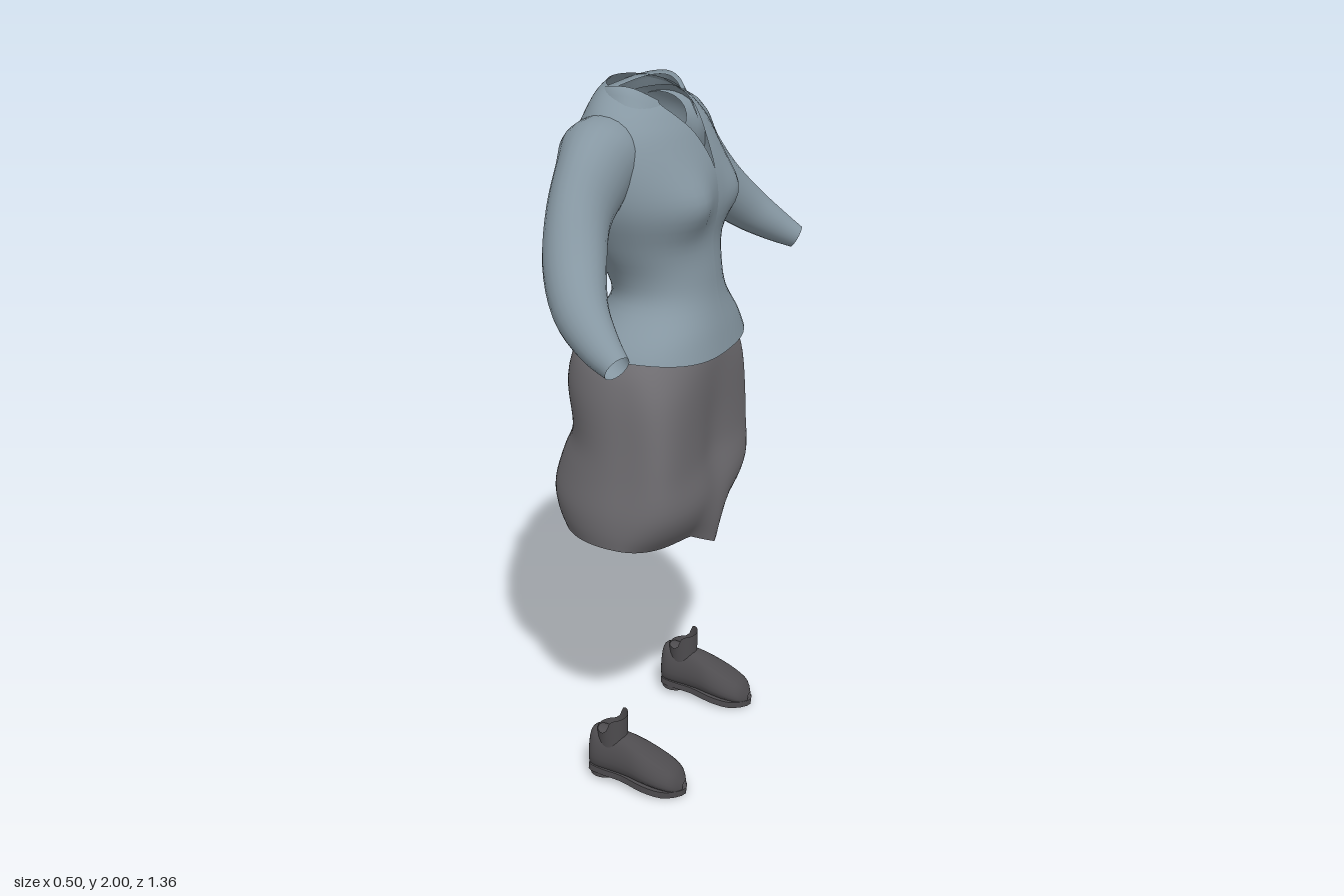
import * as THREE from 'three';

const mat = (name, color) => {
  const m = new THREE.MeshStandardMaterial({ color, side: THREE.DoubleSide });
  m.name = name;
  return m;
};

// Skin a surface over rows of points
function loft(rows, closed = false) {
  const n = rows[0].length, pos = [], idx = [];
  rows.forEach(r => r.forEach(p => pos.push(p[0], p[1], p[2])));
  const cols = closed ? n : n - 1;
  for (let i = 0; i < rows.length - 1; i++) {
    for (let j = 0; j < cols; j++) {
      const a = i * n + j, b = i * n + (j + 1) % n, c = a + n, d = b + n;
      idx.push(a, c, b, b, c, d);
    }
  }
  const g = new THREE.BufferGeometry();
  g.setAttribute('position', new THREE.Float32BufferAttribute(pos, 3));
  g.setIndex(idx);
  g.computeVertexNormals();
  return g;
}

// Smoothly resample a table of section values
function resample(table, steps) {
  const out = [];
  for (let s = 0; s <= steps; s++) {
    const f = s / steps * (table.length - 1);
    const i = Math.min(Math.floor(f), table.length - 2), u = f - i;
    const p = table[Math.max(i - 1, 0)], a = table[i], b = table[i + 1], q = table[Math.min(i + 2, table.length - 1)];
    out.push(a.map((v, k) => v + 0.5 * u * (b[k] - p[k] +
      u * (2 * p[k] - 5 * v + 4 * b[k] - q[k] + u * (3 * (v - b[k]) + q[k] - p[k])))));
  }
  return out;
}

// Oval point, front at t = 0, widest at x = mid; n above 2 squares the front half
function oval(t, back, front, half, mid = (back + front) / 2, n = 2) {
  const c = Math.cos(t), s = Math.sin(t);
  const r = c > 0 ? (c ** n + Math.abs(s) ** n) ** (-1 / n) : 1;
  return [mid + (c > 0 ? front - mid : mid - back) * c * r, half * s * r];
}
const bump = (v, c, w) => Math.exp(-(((v - c) / w) ** 2));
const range = (n, fn) => Array.from({ length: n + 1 }, (_, i) => fn(i / n));

export function createModel() {
  const shirt = mat('blue grey cloth', 0x8697a2);
  const cloth = mat('grey skirt cloth', 0x706e72);
  const leather = mat('dark shoe leather', 0x4e4c4f);
  const model = new THREE.Group();
  const add = (name, geo, material, parent = model) => {
    const m = new THREE.Mesh(geo, material);
    m.name = name;
    parent.add(m);
    return m;
  };

  // Blouse body: height, back, front, half width, neck gap angle, forward drop, front squareness
  const body = resample([
    [1.285, -0.18, 0.245, 0.292, 0, 0, 2.5], [1.35, -0.145, 0.23, 0.26, 0, 0, 2.4],
    [1.43, -0.09, 0.208, 0.19, 0, 0, 2.2], [1.5, -0.11, 0.198, 0.185, 0, 0, 2.1],
    [1.59, -0.175, 0.19, 0.222, 0, 0, 2.1], [1.69, -0.208, 0.2, 0.262, 0, 0, 2.1],
    [1.78, -0.2, 0.19, 0.268, 0, 0, 2], [1.87, -0.175, 0.15, 0.25, 0.12, 0, 2],
    [1.925, -0.15, 0.115, 0.212, 0.32, 0.005, 2], [1.96, -0.13, 0.09, 0.165, 0.55, 0.012, 2],
    [1.98, -0.105, 0.078, 0.128, 0.72, 0.02, 2]], 40);
  add('blouseBody', loft(body.map(([y, b, f, h, gap, drop, n]) => range(56, k => {
    const g = Math.max(gap, 0), t = g + k * (2 * Math.PI - 2 * g);
    let [x, z] = oval(t, b, f, h, (b + f) / 2, n);
    if (x > 0.03) x += 0.036 * bump(y, 1.7, 0.075) * bump(Math.abs(z), 0.13, 0.08);
    const hem = bump(y, 1.285, 0.05) * 0.022 * Math.min(1, Math.abs(z) / 0.29) ** 3;
    return [x, y - drop * Math.cos(t) + hem, z];
  }))), shirt);

  // Folded collar, open at the front, with lower points
  const collar = [[0, -0.01], [0.01, 0], [0.024, -0.022], [0.04, -0.045]];
  add('collar', loft(collar.map(([out, up], i) => range(36, k => {
    const g = 0.74 - 0.03 * i, t = g + k * (2 * Math.PI - 2 * g), c = Math.cos(t);
    const [x, z] = oval(t, -0.105 - out * 0.85, 0.08 + out * 1.2, 0.128 + out * 0.9);
    const tip = 0.055 * (i / 3) ** 1.5 * Math.max(0, c) ** 2;
    return [x, 2 + up - (c > 0 ? 0.055 : 0.025) * c * c - tip, z];
  }))), shirt);

  // Sleeves: x, y, z, radius across the arm, radius front to back
  const sleeve = resample([
    [-0.045, 1.865, 0.145, 0.075, 0.095], [-0.04, 1.832, 0.215, 0.108, 0.108],
    [-0.03, 1.79, 0.29, 0.116, 0.092], [-0.023, 1.715, 0.38, 0.1, 0.08],
    [0.01, 1.62, 0.473, 0.082, 0.08], [0.067, 1.535, 0.56, 0.068, 0.07],
    [0.14, 1.473, 0.615, 0.05, 0.054], [0.205, 1.432, 0.647, 0.034, 0.036]], 28);
  for (const side of [1, -1]) {
    const rows = sleeve.map(([x, y, z, ra, rb], i) => {
      const p = sleeve[Math.max(i - 1, 0)], q = sleeve[Math.min(i + 1, 28)];
      const dir = new THREE.Vector3(q[0] - p[0], q[1] - p[1], q[2] - p[2]).normalize();
      const up = new THREE.Vector3().crossVectors(dir, new THREE.Vector3(1, 0, 0)).normalize();
      const fore = new THREE.Vector3().crossVectors(up, dir);
      return range(23, k => {
        const t = k * 23 / 24 * Math.PI * 2;
        const v = new THREE.Vector3(x, y, z).addScaledVector(up, ra * Math.cos(t)).addScaledVector(fore, rb * Math.sin(t));
        return [v.x, v.y, v.z * side];
      });
    });
    add(side > 0 ? 'sleeveA' : 'sleeveB', loft(rows, true), shirt);
  }

  // Skirt: height, back, front, half width, front squareness, hollow (+) or ridge (-) down the front
  const skirt = resample([
    [1.31, -0.165, 0.195, 0.28, 2.5, 0], [1.26, -0.195, 0.204, 0.302, 3, 0],
    [1.18, -0.208, 0.208, 0.317, 4, 0.005], [1.06, -0.19, 0.208, 0.324, 5, 0.012],
    [0.97, -0.225, 0.212, 0.33, 4.8, 0.015], [0.88, -0.254, 0.225, 0.338, 3.6, 0.01],
    [0.82, -0.245, 0.21, 0.337, 2.8, -0.008], [0.775, -0.222, 0.175, 0.33, 2.3, -0.033]], 28);
  add('skirt', loft(skirt.map(([y, b, f, h, n, hollow]) => range(95, k => {
    const t = k * 95 / 96 * Math.PI * 2, c = Math.cos(t);
    const [x, z] = oval(t, b, f, h, 0.045, n);
    const low = Math.max(0, (0.95 - y) / 0.175) ** 1.5;
    const dip = c > 0 ? 0.03 * c * c + 0.055 * Math.max(0, 1 - Math.abs(z) / 0.11) : 0.018 * c * c;
    return [x - (c > 0 ? hollow * bump(z, 0, 0.09) : 0), y - low * dip, z];
  })), true), cloth);

  // Shoes: length position, half width, underside, top
  const upper = resample([
    [-0.064, 0.012, 0.045, 0.12], [-0.056, 0.036, 0.036, 0.158], [-0.03, 0.047, 0.034, 0.165],
    [0.02, 0.049, 0.034, 0.158], [0.07, 0.054, 0.032, 0.148], [0.12, 0.062, 0.028, 0.126],
    [0.17, 0.061, 0.022, 0.102], [0.21, 0.047, 0.017, 0.077], [0.232, 0.014, 0.014, 0.042]], 24);
  const solePlan = new THREE.Shape(new THREE.SplineCurve([
    [-0.068, 0], [-0.055, 0.04], [-0.01, 0.048], [0.05, 0.048], [0.13, 0.064], [0.195, 0.055],
    [0.238, 0], [0.195, -0.055], [0.13, -0.064], [0.05, -0.048], [-0.01, -0.048], [-0.055, -0.04], [-0.068, 0]
  ].map(p => new THREE.Vector2(...p))).getPoints(40));
  for (const side of [1, -1]) {
    const shoe = new THREE.Group();
    shoe.name = side > 0 ? 'shoeA' : 'shoeB';
    shoe.position.z = 0.266 * side;
    model.add(shoe);
    add('shoeUpper', loft(upper.map(([x, w, lo, hi]) => range(19, k => {
      const t = k * 19 / 20 * Math.PI * 2, s = Math.sin(t), c = Math.cos(t);
      return [x, (lo + hi) / 2 + (hi - lo) / 2 * s, w * Math.sign(c) * Math.abs(c) ** 0.6 * (1 - 0.2 * s)];
    })), true), leather, shoe);
    const sole = new THREE.ExtrudeGeometry(solePlan, { depth: 0.02, bevelEnabled: false });
    const soleMesh = add('sole', sole.rotateX(-Math.PI / 2), leather, shoe);
    soleMesh.position.y = 0.027;
    soleMesh.rotation.z = -0.1;
    const heel = add('heel', new THREE.CylinderGeometry(0.045, 0.044, 0.025, 24), leather, shoe);
    heel.position.set(-0.02, 0.028, 0);
    // Ankle sock, taller at the front
    const sock = range(3, v => range(24, k => {
      const t = k * Math.PI * 2, front = 0.5 + 0.5 * Math.tanh(6 * (Math.cos(t) - 0.1));
      return [0.005 + 0.044 * Math.cos(t), 0.12 + v * (0.05 + 0.045 * front), (0.042 + 0.006 * v) * Math.sin(t)];
    }));
    add('sock', loft(sock), leather, shoe);
  }
  return model;
}
